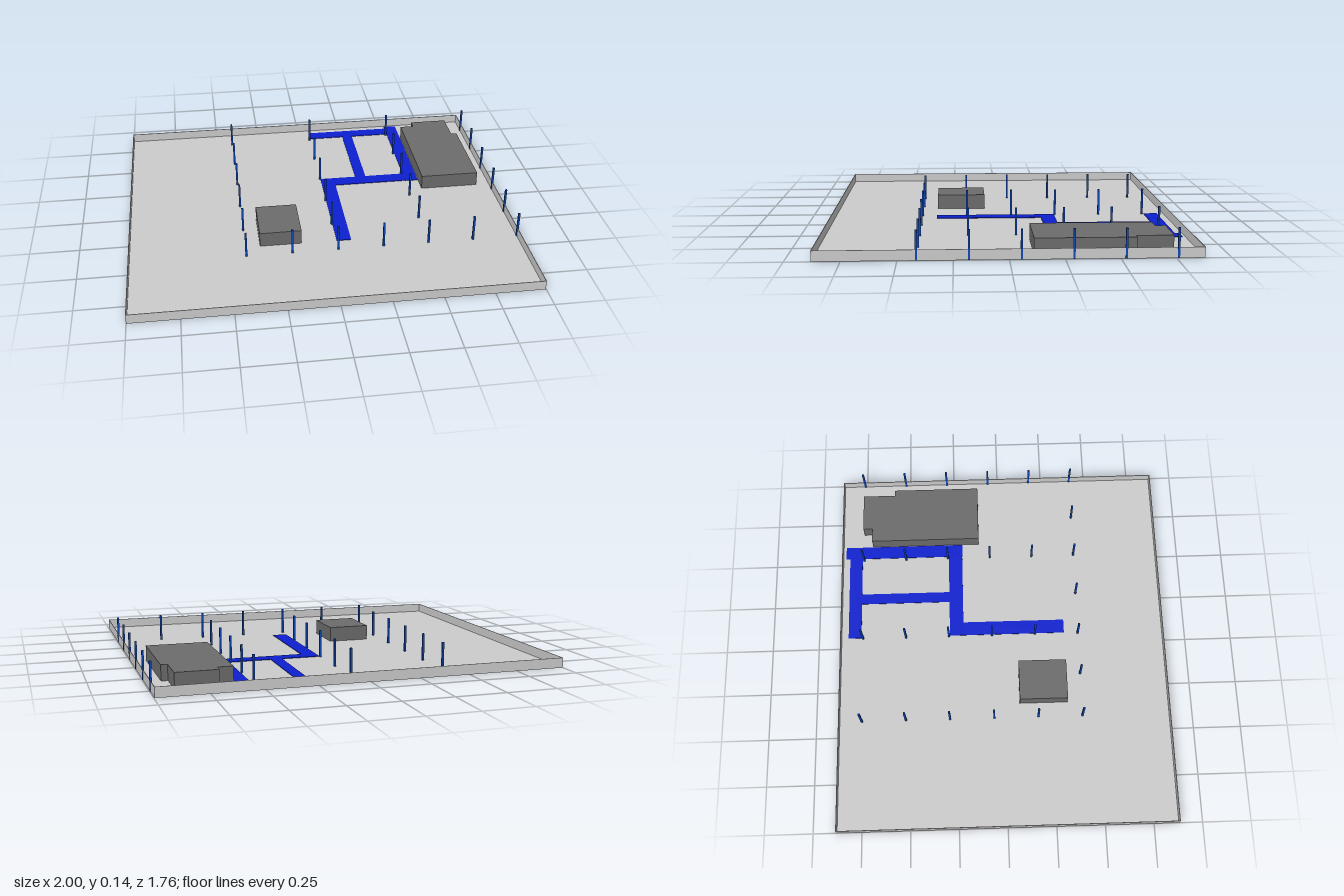
import * as THREE from 'three';

export function createModel() {
  const model = new THREE.Group();
  const mat = (name, color) => {
    const m = new THREE.MeshStandardMaterial({ color });
    m.name = name;
    return m;
  };
  const paleGrey = mat('pale grey', 0xcccccc);
  const darkGrey = mat('dark grey', 0x6c6c6c);
  const blue = mat('path blue', 0x0d20cf);
  const postBlue = mat('post blue', 0x0d47b5);

  // Box given by its extents on each axis
  function block(name, material, x0, x1, y0, y1, z0, z1, parent = model) {
    const mesh = new THREE.Mesh(new THREE.BoxGeometry(x1 - x0, y1 - y0, z1 - z0), material);
    mesh.position.set((x0 + x1) / 2, (y0 + y1) / 2, (z0 + z1) / 2);
    mesh.name = name;
    parent.add(mesh);
  }
  function group(name) {
    const g = new THREE.Group();
    g.name = name;
    model.add(g);
    return g;
  }

  // Shallow tray: thin floor and four thin rim walls
  const L = -1, R = 0.997, D = 0.88, H = 0.05, T = 0.003, F = 0.003;
  const tray = group('tray');
  block('floor', paleGrey, L, R, 0, F, -D, D, tray);
  block('rightWall', paleGrey, L, L + T, F, H, -D, D, tray);
  block('leftWall', paleGrey, R - T, R, F, H, -D, D, tray);
  for (const [name, z] of [['backWall', -D], ['frontWall', D - T]])
    block(name, paleGrey, L + T, R - T, F, H, z, z + T, tray);

  // Flat paths: x0, x1, z0, z1
  const paths = group('paths');
  [
    [0.06, 0.535, -0.84, -0.77],
    [0.535, 0.605, -0.862, -0.207],
    [0.26, 0.318, -0.77, -0.285],
    [0.06, 0.535, -0.285, -0.21],
    [0.06, 0.135, -0.21, 0.34],
  ].forEach(([x0, x1, z0, z1]) => block('path', blue, x0, x1, F, F + 0.003, z0, z1, paths));

  // Small rectangular building
  block('smallBuilding', darkGrey, -0.337, -0.122, F, 0.08, 0.083, 0.338);

  // Large building with stepped back corners (outline in x, -z)
  const outline = [
    [0.608, 0.115], [0.922, 0.115], [0.922, 0.585], [0.89, 0.585],
    [0.89, 0.76], [0.684, 0.76], [0.684, 0.71], [0.608, 0.71],
  ].map(([x, y]) => new THREE.Vector2(x, y));
  const large = new THREE.Mesh(
    new THREE.ExtrudeGeometry(new THREE.Shape(outline), { depth: 0.08 - F, bevelEnabled: false }),
    darkGrey
  );
  large.rotation.x = -Math.PI / 2;
  large.position.y = F;
  large.name = 'largeBuilding';
  model.add(large);

  // Posts: every other column runs the full depth, the front row is complete
  const posts = group('posts');
  const w = 0.005;
  for (let i = 0; i < 7; i++) {
    for (let j = 0; j < 6; j++) {
      if (i % 2 && j < 5) continue;
      const x = -0.412 + i * 0.2345, z = -0.76 + j * 0.235;
      block('post', postBlue, x - w, x + w, 0.001, 0.14, z - w, z + w, posts);
    }
  }
  return model;
}
